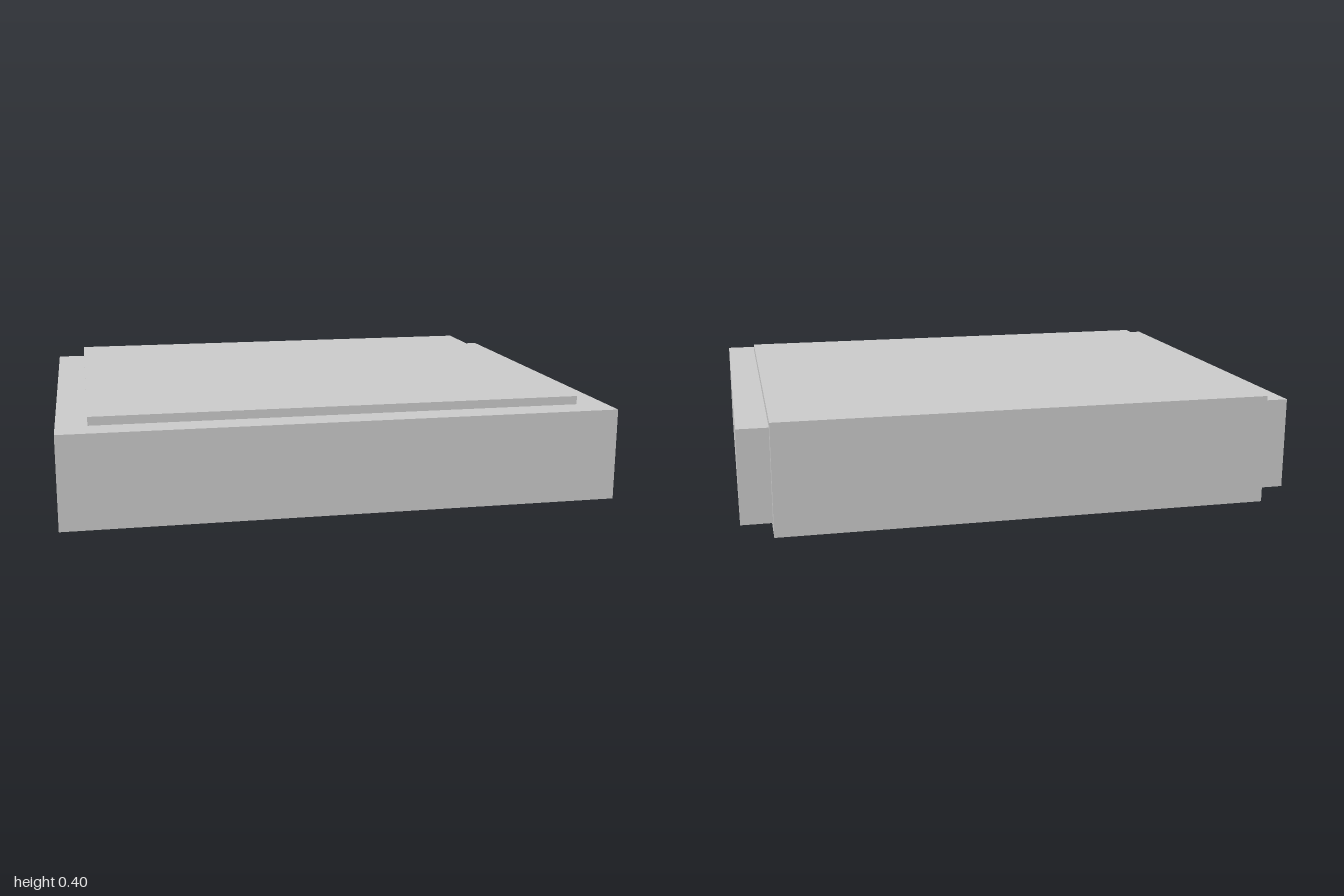
import * as THREE from 'three';

const material = new THREE.MeshStandardMaterial({ color: 0xcccccc, flatShading: true });

// Box given by its lower and upper corners
function block(name, [x0, y0, z0], [x1, y1, z1]) {
  const mesh = new THREE.Mesh(new THREE.BoxGeometry(x1 - x0, y1 - y0, z1 - z0), material);
  mesh.position.set((x0 + x1) / 2, (y0 + y1) / 2, (z0 + z1) / 2);
  mesh.name = name;
  return mesh;
}

export function createModel() {
  const group = new THREE.Group();
  group.name = 'slab';

  // Wide outer body, flush with the front
  group.add(block('outerBody', [-1, 0.033, -0.738], [1, 0.369, 0.797]));

  // Taller, narrower core standing proud above, below and at the back
  group.add(block('innerCore', [-0.89, 0, -0.797], [0.89, 0.4, 0.683]));

  return group;
}
